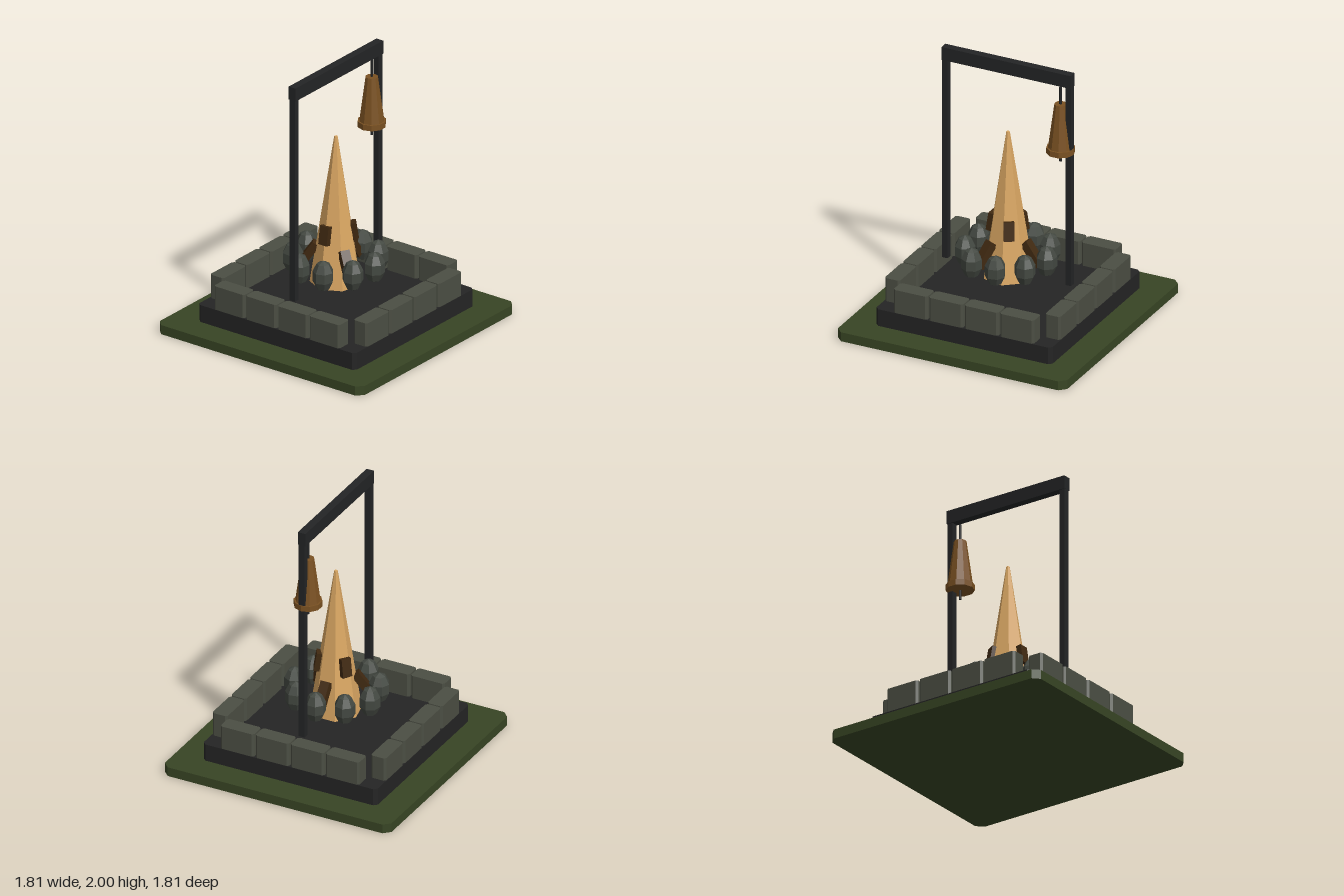
import * as THREE from 'three';

const paint = (name, color) => {
  const m = new THREE.MeshStandardMaterial({ color, flatShading: true });
  m.name = name;
  return m;
};

// Upright slab with its four vertical edges chamfered, standing on its own y = 0
function chamferedSlab(w, d, h, c) {
  const x = w / 2, z = d / 2;
  const points = [
    [x, z - c], [x - c, z], [c - x, z], [-x, z - c],
    [-x, c - z], [c - x, -z], [x - c, -z], [x, c - z],
  ].map(([a, b]) => new THREE.Vector2(a, b));
  const geo = new THREE.ExtrudeGeometry(new THREE.Shape(points), { depth: h, bevelEnabled: false });
  return geo.rotateX(-Math.PI / 2);
}

export function createModel() {
  const model = new THREE.Group();
  model.name = 'firePitWithBell';

  const grass = paint('grass green', 0x384524);
  const soot = paint('soot black', 0x242424);
  const stone = paint('wall stone', 0x4b4e43);
  const pebble = paint('ring stone', 0x434841);
  const flameTan = paint('flame tan', 0xd9a662);
  const wood = paint('dark wood', 0x402911);
  const bronze = paint('bronze', 0x7a5122);
  const iron = paint('iron black', 0x232425);

  const add = (name, geo, mat, x = 0, y = 0, z = 0, parent = model) => {
    const mesh = new THREE.Mesh(geo, mat);
    mesh.name = name;
    mesh.position.set(x, y, z);
    parent.add(mesh);
    return mesh;
  };

  // Ground and foundation
  add('ground', chamferedSlab(1.81, 1.81, 0.07, 0.048), grass);
  add('foundation', chamferedSlab(1.39, 1.39, 0.13, 0.025), soot, 0, 0.07);

  // Low wall: four blocks on each side
  const block = chamferedSlab(0.268, 0.12, 0.18, 0.015);
  for (let i = 0; i < 4; i++) {
    const along = (i - 1.5) * 0.28;
    for (const side of [-1, 1]) {
      add('wallBlock', block, stone, along, 0.2, side * 0.633);
      add('wallBlock', block, stone, side * 0.633, 0.2, along).rotation.y = Math.PI / 2;
    }
  }

  // Seven-sided spire with a corner towards -x
  add('spire', new THREE.CylinderGeometry(0.013, 0.186, 1.12, 7, 1, false, -Math.PI / 2),
    flameTan, 0, 0.88);

  // Ring of nine tall stones
  const ringStone = new THREE.SphereGeometry(0.079, 7, 5).scale(1, 1.49, 1);
  for (let i = 0; i < 9; i++) {
    const a = (i * Math.PI * 2) / 9;
    add('ringStone', ringStone, pebble, 0.305 * Math.cos(a), 0.491, 0.305 * Math.sin(a))
      .rotation.y = -a;
  }

  // Two tiers of wooden pieces leaning on the spire
  const tiers = [
    { name: 'lowerLog', start: 0, r: 0.195, y: 0.525, lean: 0.61, size: [0.06, 0.2, 0.07] },
    { name: 'upperLog', start: Math.PI / 3, r: 0.125, y: 0.717, lean: 0.16, size: [0.045, 0.14, 0.075] },
  ];
  for (const t of tiers) {
    const geo = new THREE.BoxGeometry(...t.size);
    for (let i = 0; i < 3; i++) {
      const arm = new THREE.Group();
      arm.name = t.name + 'Arm';
      arm.rotation.y = t.start + (i * Math.PI * 2) / 3;
      model.add(arm);
      add(t.name, geo, wood, t.r, t.y, 0, arm).rotation.z = t.lean;
    }
  }

  // Frame
  for (const side of [-1, 1]) {
    add('post', new THREE.BoxGeometry(0.045, 1.58, 0.048), iron, side * 0.487, 1.14, 0);
  }
  add('beam', new THREE.BoxGeometry(1.02, 0.1, 0.06), iron, 0, 1.95, 0);

  // Bell hanging on its rod
  const bell = new THREE.Group();
  bell.name = 'bell';
  bell.position.x = 0.415;
  model.add(bell);
  const ring = (top, bottom, h) =>
    new THREE.CylinderGeometry(top, bottom, h, 10, 1, false, Math.PI / 2);
  add('bellBody', ring(0.045, 0.091, 0.34), bronze, 0, 1.58, 0, bell);
  add('bellRim', ring(0.103, 0.103, 0.043), bronze, 0, 1.392, 0, bell);
  add('bellRod', new THREE.CylinderGeometry(0.01, 0.01, 0.58, 6), iron, 0, 1.59, 0, bell);

  return model;
}
